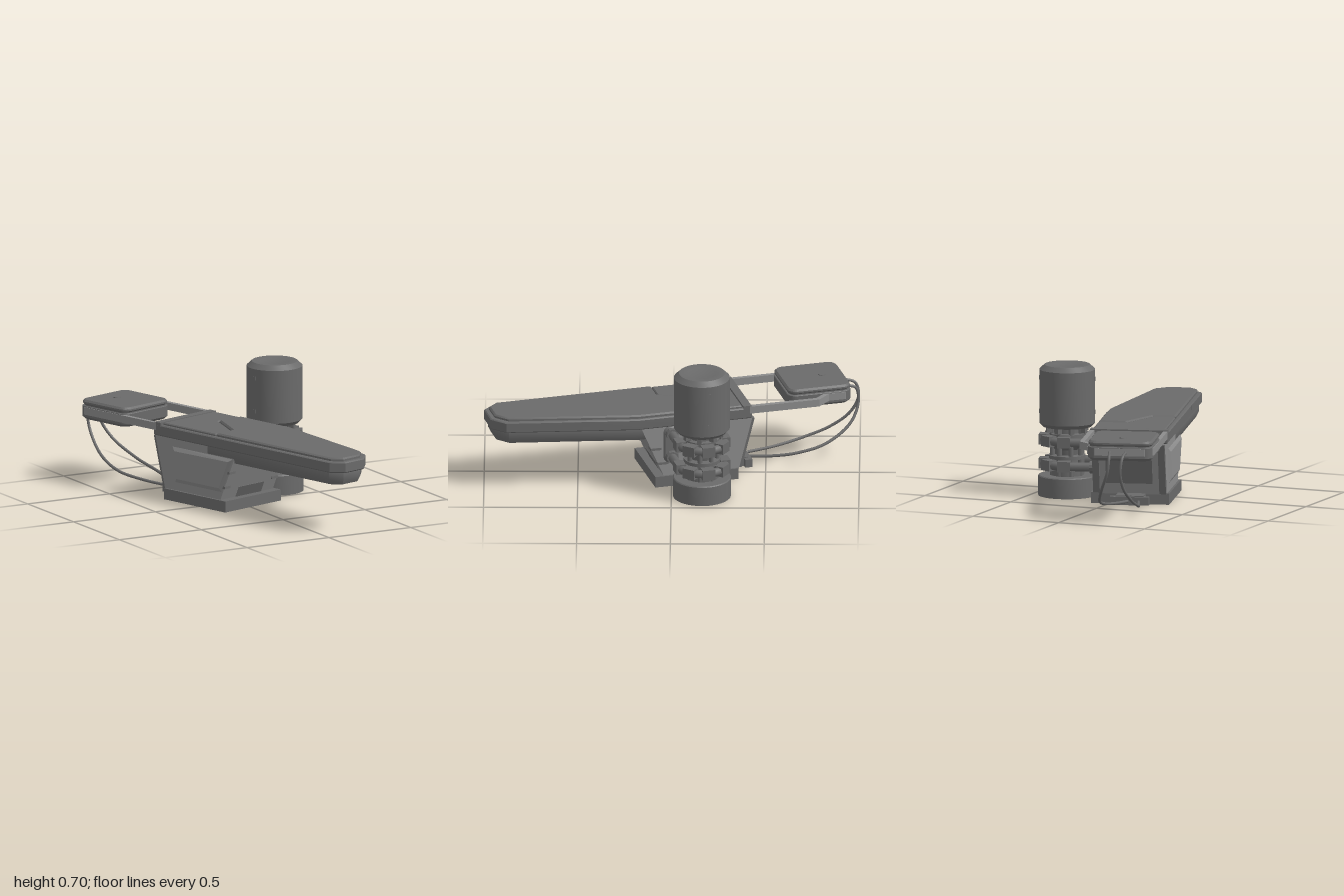
import * as THREE from 'three';
import { toCreasedNormals } from 'three/addons/utils/BufferGeometryUtils.js';

const flat = new THREE.MeshStandardMaterial({ color: 0x6a6a6a, flatShading: true });
const smooth = new THREE.MeshStandardMaterial({ color: 0x6a6a6a });
const light = new THREE.MeshStandardMaterial({ color: 0x8c8c8c, flatShading: true });

function add(parent, name, geo, mat = flat) {
  const mesh = new THREE.Mesh(geo, mat);
  mesh.name = name;
  parent.add(mesh);
  return mesh;
}

function box(parent, name, w, h, d, x, y, z, rx = 0, ry = 0) {
  const m = add(parent, name, new THREE.BoxGeometry(w, h, d));
  m.position.set(x, y, z);
  m.rotation.set(rx, ry, 0);
  return m;
}

const shapeOf = (pts) => new THREE.Shape(pts.map(([x, y]) => new THREE.Vector2(x, y)));

// Horizontal plate from an [x, z] outline, between heights y0 and y1
function slab(parent, name, outline, y0, y1, bevel = 0, bevelOut = bevel, mat = smooth) {
  const shape = Array.isArray(outline) ? shapeOf(outline) : outline;
  const geo = new THREE.ExtrudeGeometry(shape, {
    depth: y1 - y0 - 2 * bevel, bevelEnabled: bevel > 0, bevelThickness: bevel,
    bevelSize: bevelOut, bevelOffset: -bevelOut, bevelSegments: 1, curveSegments: 8,
  });
  geo.rotateX(Math.PI / 2).translate(0, y1 - bevel, 0);
  return add(parent, name, toCreasedNormals(geo, 0.5), mat);
}

// Upright bevelled plate from a [z, y] outline, set on the side x = x0
function sidePlate(parent, name, shape, x0, thick, bevel, mat = flat) {
  const geo = new THREE.ExtrudeGeometry(shape, {
    depth: 0.001, bevelThickness: thick, bevelSize: bevel, bevelOffset: -bevel, bevelSegments: 1,
  });
  geo.rotateY(-Math.PI / 2).translate(x0, 0, 0);
  return add(parent, name, geo, mat);
}

function roundedRect(cx, cz, w, r) {
  const s = new THREE.Shape(), h = w / 2 - r;
  [[1, 1], [-1, 1], [-1, -1], [1, -1]].forEach(([sx, sz], i) =>
    s.absarc(cx + sx * h, cz + sz * h, r, i * Math.PI / 2, (i + 1) * Math.PI / 2, false));
  return s;
}

function lathe(parent, name, profile, seg = 40) {
  const geo = new THREE.LatheGeometry(profile.map(([r, y]) => new THREE.Vector2(r, y)), seg);
  return add(parent, name, toCreasedNormals(geo, 0.45), smooth);
}

function tube(parent, name, pts, r, seg = 60, sides = 8) {
  const curve = new THREE.CatmullRomCurve3(pts.map((p) => new THREE.Vector3(...p)));
  return add(parent, name, new THREE.TubeGeometry(curve, seg, r, sides), smooth);
}

const frontZ = (y) => 0.094 + (y - 0.06) * 0.4326;
const backZ = (y) => -0.324 - (y - 0.06) * 0.26;

function buildPedestal(g) {
  box(g, 'basePlate', 0.42, 0.06, 0.46, -0.022, 0.03, -0.088);
  // Body whose front and back lean outwards
  const body = new THREE.BoxGeometry(0.396, 0.285, 1).translate(-0.022, 0.1975, 0);
  const p = body.attributes.position;
  for (let i = 0; i < p.count; i++) p.setZ(i, p.getZ(i) > 0 ? frontZ(p.getY(i)) : backZ(p.getY(i)));
  add(g, 'pedestalBody', body, light);
  box(g, 'frontVent', 0.19, 0.066, 0.005, -0.012, 0.088, frontZ(0.088), 0.408);
  for (const y of [0.13, 0.215]) for (const x of [-0.2, 0.156])
    box(g, 'cornerClip', 0.044, 0.013, 0.06, x, y, frontZ(y) - 0.026);
  sidePlate(g, 'sidePanel', shapeOf([[-0.25, 0.1], [0.108, 0.1], [0.19, 0.298], [-0.27, 0.298]]), -0.217, 0.014, 0.025, light);
  // Framed rear face
  for (const x of [-0.2, 0.156]) box(g, 'rearPost', 0.036, 0.285, 0.02, x, 0.2, backZ(0.2) - 0.004, -0.255);
  box(g, 'rearTopBar', 0.33, 0.035, 0.02, -0.022, 0.315, backZ(0.315) - 0.003, -0.255);
  box(g, 'rearPanel', 0.25, 0.15, 0.014, -0.022, 0.19, backZ(0.19), -0.255);
  // Cable socket
  box(g, 'socketBlock', 0.15, 0.05, 0.1, -0.031, 0.035, -0.36);
  box(g, 'socketFace', 0.21, 0.044, 0.04, -0.031, 0.033, -0.406);
}

function buildBed(g) {
  const outline = [[-0.233, -0.392], [0.184, -0.392], [0.186, 0.24], [0.041, 0.926],
    [-0.036, 0.991], [-0.175, 0.991], [-0.231, 0.926]];
  slab(g, 'bedFrame', outline, 0.34, 0.4, 0.006);
  slab(g, 'bedUnderside', [[-0.222, 0], [0.17, 0], [0.17, 0.235], [0.028, 0.908],
    [-0.044, 0.97], [-0.169, 0.97], [-0.219, 0.912]], 0.272, 0.375, 0.03, 0.014);
  // Cushions, split by a stepped groove
  slab(g, 'headPad', [[-0.214, -0.342], [0.17, -0.342], [0.17, -0.148], [0.02, -0.162],
    [-0.096, 0.052], [-0.214, 0.052]], 0.385, 0.412, 0.005);
  slab(g, 'mainPad', [[0.17, -0.142], [0.17, 0.235], [0.024, 0.908], [-0.044, 0.966],
    [-0.167, 0.966], [-0.21, 0.916], [-0.214, 0.058], [-0.093, 0.058], [0.024, -0.156]], 0.385, 0.418, 0.008);
  box(g, 'rearCrossbar', 0.417, 0.03, 0.045, -0.024, 0.398, -0.368);
  // Slim clips set into the long edges
  for (const [x, z, ry] of [[-0.226, 0.61, 0], [0.113, 0.56, -0.208]])
    box(g, 'edgeClip', 0.013, 0.026, 0.15, x, 0.382, z, 0, ry);
}

function buildHeadrest(g) {
  // Looped support rail
  const rail = shapeOf([[-0.233, -0.38], [-0.235, -0.92], [-0.19, -0.966], [0.078, -0.966], [0.124, -0.925],
    [0.124, -0.835], [0.186, -0.765], [0.186, -0.38]]);
  rail.holes.push(new THREE.Path([[-0.21, -0.39], [0.16, -0.39], [0.16, -0.755], [0.1, -0.825],
    [0.1, -0.915], [0.067, -0.944], [-0.181, -0.944], [-0.21, -0.91]].map((q) => new THREE.Vector2(...q))));
  slab(g, 'supportRail', rail, 0.368, 0.408, 0, 0, light);
  slab(g, 'headrestBase', roundedRect(-0.055, -0.79, 0.342, 0.05), 0.34, 0.376, 0.012);
  slab(g, 'headrestBand', roundedRect(-0.055, -0.79, 0.35, 0.05), 0.352, 0.414, 0.003);
  slab(g, 'headrestCore', roundedRect(-0.055, -0.79, 0.33, 0.045), 0.38, 0.43);
  slab(g, 'headrestCushion', roundedRect(-0.055, -0.79, 0.346, 0.05), 0.417, 0.446, 0.01);
  const knob = add(g, 'headrestButton', new THREE.CylinderGeometry(0.02, 0.022, 0.008, 20), smooth);
  knob.position.set(-0.06, 0.446, -0.845);
}

function buildTower(g) {
  lathe(g, 'towerFoot', [[0, 0], [0.155, 0], [0.155, 0.105], [0.15, 0.11], [0, 0.11]]);
  lathe(g, 'towerCore', [[0.09, 0.105], [0.09, 0.145], [0.065, 0.15], [0.065, 0.195], [0.098, 0.2],
    [0.098, 0.218], [0.065, 0.222], [0.07, 0.25], [0.095, 0.275], [0.095, 0.335], [0.075, 0.34], [0.075, 0.39]]);
  lathe(g, 'tank', [[0, 0.372], [0.13, 0.372], [0.149, 0.392], [0.149, 0.68], [0.122, 0.705],
    [0.085, 0.705], [0.075, 0.702], [0, 0.702]], 48);
  for (let i = 0; i < 8; i++) {
    const a = (i + 0.5) * Math.PI / 4, s = Math.sin(a), c = Math.cos(a);
    const rod = add(g, 'supportRod', new THREE.CylinderGeometry(0.013, 0.013, 0.27, 8), smooth);
    rod.position.set(s * 0.082, 0.245, c * 0.082);
    box(g, 'tankLug', 0.022, 0.04, 0.03, s * 0.1, 0.362, c * 0.1, 0, a);
  }
  for (const y of [0.45, 0.63]) for (const s of [-1, 1])
    box(g, 'tankStud', 0.01, 0.022, 0.016, s * 0.147, y, 0);
}

// U-shaped pipes that tie the tower to the pedestal
function buildPipes(g, tx, tz) {
  const R = 0.123;
  for (const y of [0.172, 0.302]) {
    const pts = [[0.15, y, tz - R], [0.25, y, tz - R]];
    for (let i = 0; i <= 8; i++) {
      const a = -Math.PI / 2 + i * Math.PI / 8;
      pts.push([tx + R * Math.cos(a), y, tz + R * Math.sin(a)]);
    }
    pts.push([0.25, y, tz + R], [0.15, y, tz + R]);
    tube(g, 'clampPipe', pts, 0.024, 48, 8);
    for (const s of [-1, 1]) {
      const flange = add(g, 'pipeFlange', new THREE.CylinderGeometry(0.033, 0.033, 0.025, 12));
      flange.rotation.z = Math.PI / 2;
      flange.position.set(0.2, y, tz + s * R);
    }
    for (let i = -2; i <= 2; i++) {
      const a = i * Math.PI / 4;
      box(g, 'clampBlock', 0.052, 0.056, 0.07, tx + Math.cos(a) * R, y, tz + Math.sin(a) * R, 0, -a);
      box(g, 'clampArm', 0.07, 0.024, 0.024, tx + Math.cos(a) * 0.09, y, tz + Math.sin(a) * 0.09, 0, -a);
    }
  }
  // Capsule plates behind the flanges
  for (const s of [-1, 1]) {
    const plate = new THREE.Shape();
    plate.absarc(tz + s * R, 0.302, 0.042, 0, Math.PI, false);
    plate.absarc(tz + s * R, 0.172, 0.042, Math.PI, 2 * Math.PI, false);
    sidePlate(g, 'flangePlate', plate, 0.177, 0.008, 0.01);
  }
}

export function createModel() {
  const model = new THREE.Group();
  model.name = 'reclinerStation';
  const couch = new THREE.Group();
  couch.name = 'couch';
  couch.rotation.y = 0.275;
  model.add(couch);
  buildPedestal(couch);
  buildBed(couch);
  buildHeadrest(couch);

  const tower = new THREE.Group();
  tower.name = 'tower';
  tower.position.set(0.352, 0, -0.07);
  couch.add(tower);
  buildTower(tower);
  buildPipes(couch, 0.352, -0.07);

  // Cables from the headrest down to the socket
  tube(model, 'cableLeft', [[-0.355, 0.39, -0.92], [-0.36, 0.37, -0.975], [-0.355, 0.29, -0.992], [-0.352, 0.2, -0.945],
    [-0.352, 0.12, -0.84], [-0.33, 0.067, -0.7], [-0.265, 0.042, -0.55], [-0.2, 0.033, -0.4]], 0.008);
  tube(model, 'cableRight', [[-0.27, 0.39, -0.94], [-0.285, 0.37, -0.98], [-0.28, 0.29, -0.992], [-0.23, 0.19, -0.95],
    [-0.16, 0.1, -0.82], [-0.125, 0.058, -0.66], [-0.128, 0.04, -0.52], [-0.14, 0.033, -0.41]], 0.008);
  return model;
}
